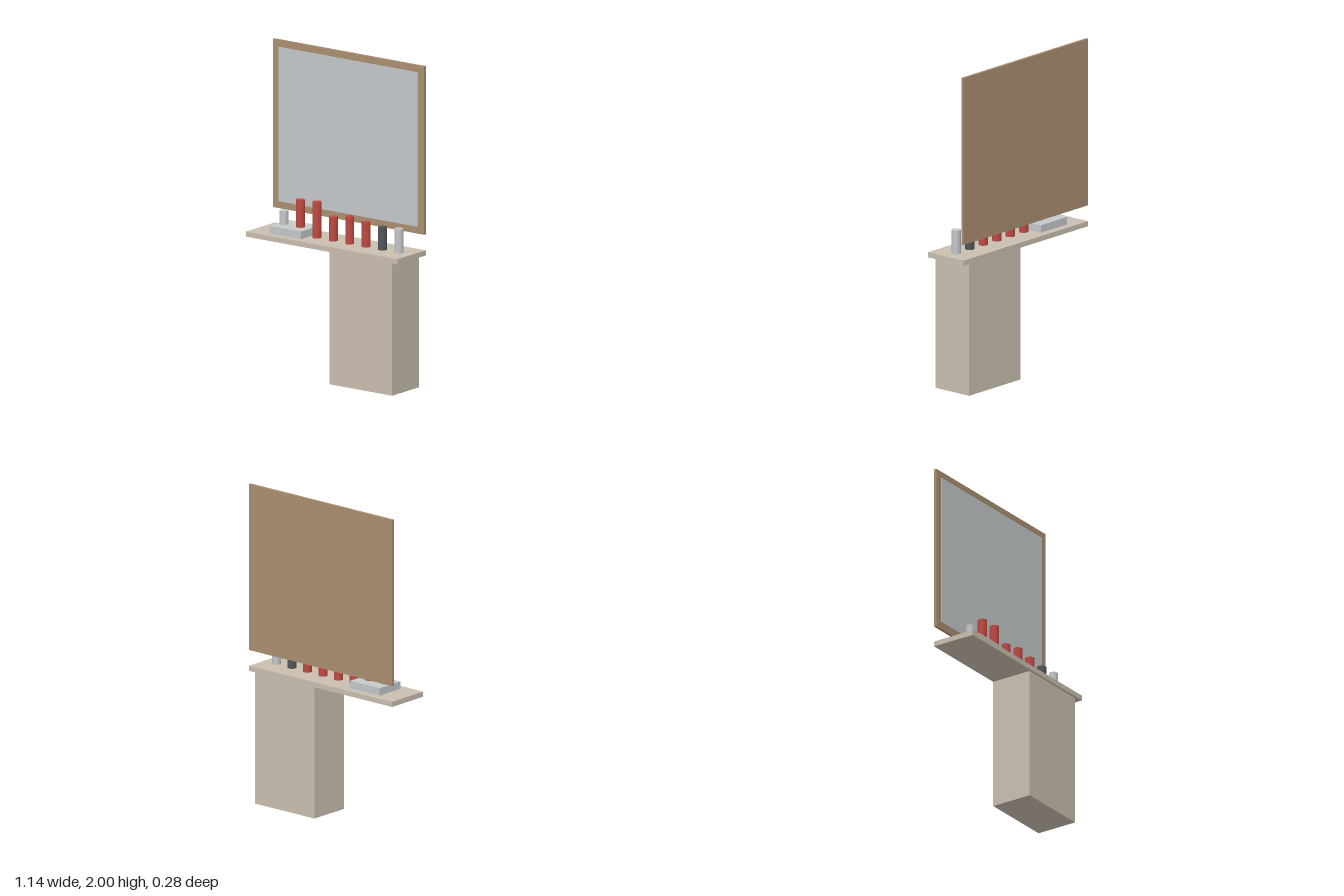
import * as THREE from 'three';

const mat = (name, color) => {
  const m = new THREE.MeshStandardMaterial({ color });
  m.name = name;
  return m;
};

export function createModel() {
  const group = new THREE.Group();
  const beige = mat('beige laminate', 0xc9bfaf);
  const wood = mat('brown wood', 0xaa8f70);
  const silver = mat('silver', 0xc3c8ca);
  const red = mat('red', 0xc04a42);
  const dark = mat('dark grey', 0x55565a);

  // Box given by its minimum and maximum corners
  const box = (name, material, [x0, y0, z0], [x1, y1, z1]) => {
    const mesh = new THREE.Mesh(new THREE.BoxGeometry(x1 - x0, y1 - y0, z1 - z0), material);
    mesh.position.set((x0 + x1) / 2, (y0 + y1) / 2, (z0 + z1) / 2);
    mesh.name = name;
    group.add(mesh);
  };

  // Vanity and wall mirror
  box('cabinet', beige, [0.047, 0, -0.142], [0.521, 0.825, 0.127]);
  box('shelf', beige, [-0.571, 0.825, -0.142], [0.571, 0.857, 0.142]);
  box('mirrorFrame', wood, [-0.571, 0.956, -0.142], [0.571, 2, -0.125]);
  box('mirrorGlass', silver, [-0.525, 1.0, -0.125], [0.523, 1.957, -0.12]);
  box('tray', silver, [-0.431, 0.857, -0.094], [-0.193, 0.904, 0.094]);

  // Row of bottles; the first two stand on the tray: [base, top, material]
  const bottles = [
    [0.904, 0.988, silver], [0.904, 1.074, red], [0.857, 1.08, red], [0.857, 1.005, red],
    [0.857, 1.026, red], [0.857, 1.011, red], [0.857, 1.0, dark], [0.857, 1.005, silver],
  ];
  bottles.forEach(([base, top, material], i) => {
    const geometry = new THREE.CylinderGeometry(0.028, 0.028, top - base, 10);
    const bottle = new THREE.Mesh(geometry, material);
    bottle.position.set(-0.392 + i * 0.1239, (base + top) / 2, 0);
    bottle.name = `bottle${i + 1}`;
    group.add(bottle);
  });

  return group;
}
